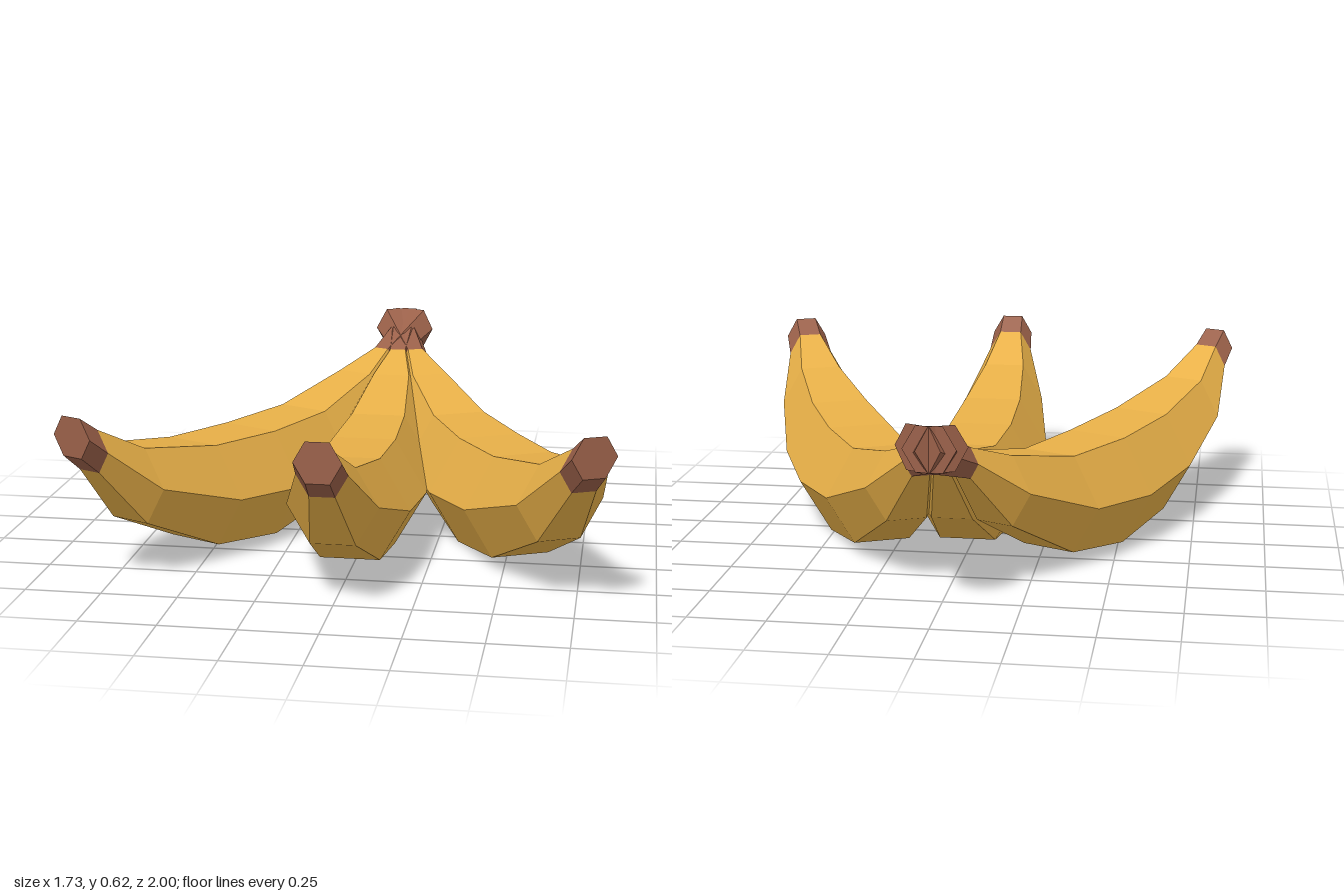
import * as THREE from 'three';

const SIDES = 6;
const PIVOT_Z = -0.89; // the stems cross here
const SPREAD = THREE.MathUtils.degToRad(25);

// Upright hexagonal cross-sections, from blossom tip to stem: [z, centre y, radius]
const RINGS = [
  [1.0, 0.532, 0.074],
  [0.926, 0.476, 0.08],
  [0.744, 0.325, 0.145],
  [0.415, 0.217, 0.2],
  [0.098, 0.186, 0.214],
  [-0.22, 0.21, 0.19],
  [-0.554, 0.33, 0.133],
  [-0.735, 0.455, 0.057],
  [-0.975, 0.548, 0.082],
];

// Skin a run of cross-sections, with an optional flat cap at either end
function loft(rings, capFront, capBack) {
  const positions = [];
  const index = [];
  for (const [z, y, r] of rings) {
    for (let k = 0; k < SIDES; k++) {
      const a = (k / SIDES) * Math.PI * 2;
      positions.push(r * Math.cos(a), y + r * Math.sin(a), z - PIVOT_Z);
    }
  }
  for (let i = 0; i < rings.length - 1; i++) {
    for (let k = 0; k < SIDES; k++) {
      const n = (k + 1) % SIDES;
      const a = i * SIDES + k, b = i * SIDES + n;
      const c = a + SIDES, d = b + SIDES;
      index.push(a, c, b, b, c, d);
    }
  }
  const last = (rings.length - 1) * SIDES;
  for (let k = 1; k < SIDES - 1; k++) {
    if (capFront) index.push(0, k, k + 1);
    if (capBack) index.push(last, last + k + 1, last + k);
  }
  const indexed = new THREE.BufferGeometry();
  indexed.setAttribute('position', new THREE.Float32BufferAttribute(positions, 3));
  indexed.setIndex(index);
  const geometry = indexed.toNonIndexed();
  geometry.computeVertexNormals();
  return geometry;
}

export function createModel() {
  const model = new THREE.Group();
  model.name = 'bananaBunch';

  const yellow = new THREE.MeshStandardMaterial({ color: 0xe8b048, flatShading: true });
  const brown = new THREE.MeshStandardMaterial({ color: 0x9a6049, flatShading: true });

  const parts = [
    ['tip', loft(RINGS.slice(0, 2), true, false), brown],
    ['peel', loft(RINGS.slice(1, 8), false, false), yellow],
    ['stem', loft(RINGS.slice(7), false, true), brown],
  ];

  // Three bananas fanned out around the shared stem
  [['rightBanana', -1], ['middleBanana', 0], ['leftBanana', 1]].forEach(([name, turn]) => {
    const banana = new THREE.Group();
    banana.name = name;
    banana.position.z = PIVOT_Z;
    banana.rotation.y = turn * SPREAD;
    for (const [partName, geometry, material] of parts) {
      const mesh = new THREE.Mesh(geometry, material);
      mesh.name = partName;
      banana.add(mesh);
    }
    model.add(banana);
  });

  return model;
}
